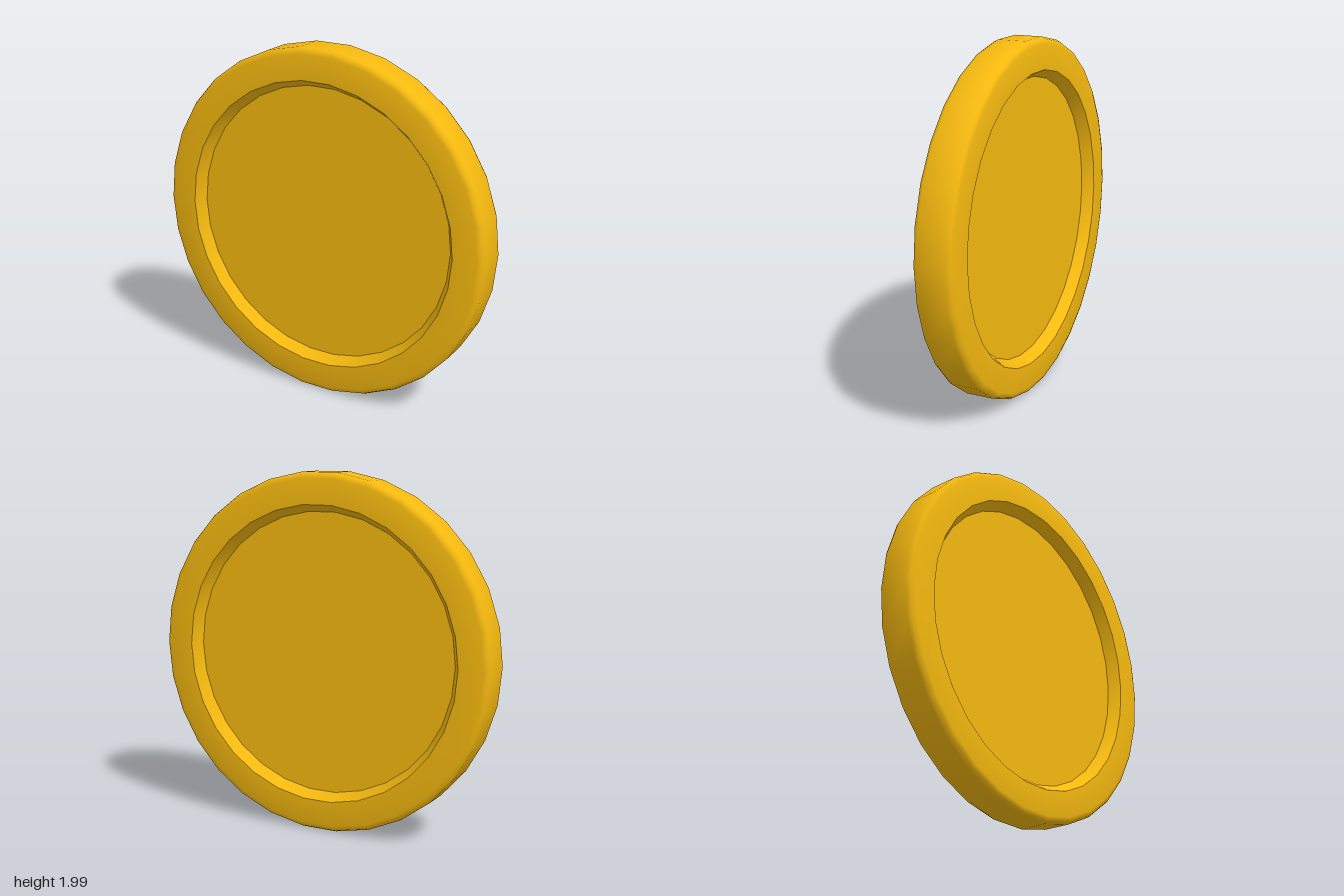
import * as THREE from 'three';
import { toCreasedNormals } from 'three/addons/utils/BufferGeometryUtils.js';

export function createModel() {
  const model = new THREE.Group();
  model.name = 'coin';
  const gold = new THREE.MeshStandardMaterial({ color: 0xf5b90f });
  const SIDES = 30;

  // Half profile from the axis outwards: recessed floor, sloped wall, flat rim, rounded edge
  const half = [[0, 0.045], [0.785, 0.045], [0.825, 0.108], [0.965, 0.108], [0.989, 0.1], [1, 0.078]];
  const front = half.map(([r, z]) => new THREE.Vector2(r, z)).reverse();
  const back = half.map(([r, z]) => new THREE.Vector2(r, -z));

  // Lathe with a corner on the x axis, turned to face +z
  const lathe = new THREE.LatheGeometry([...back, ...front], SIDES, Math.PI / 2);
  lathe.rotateX(Math.PI / 2);
  const disc = new THREE.Mesh(toCreasedNormals(lathe, 0.85), gold);
  disc.name = 'coinDisc';
  // The disc rests on one of its flat sides
  disc.position.y = Math.cos(Math.PI / SIDES);
  model.add(disc);

  return model;
}
